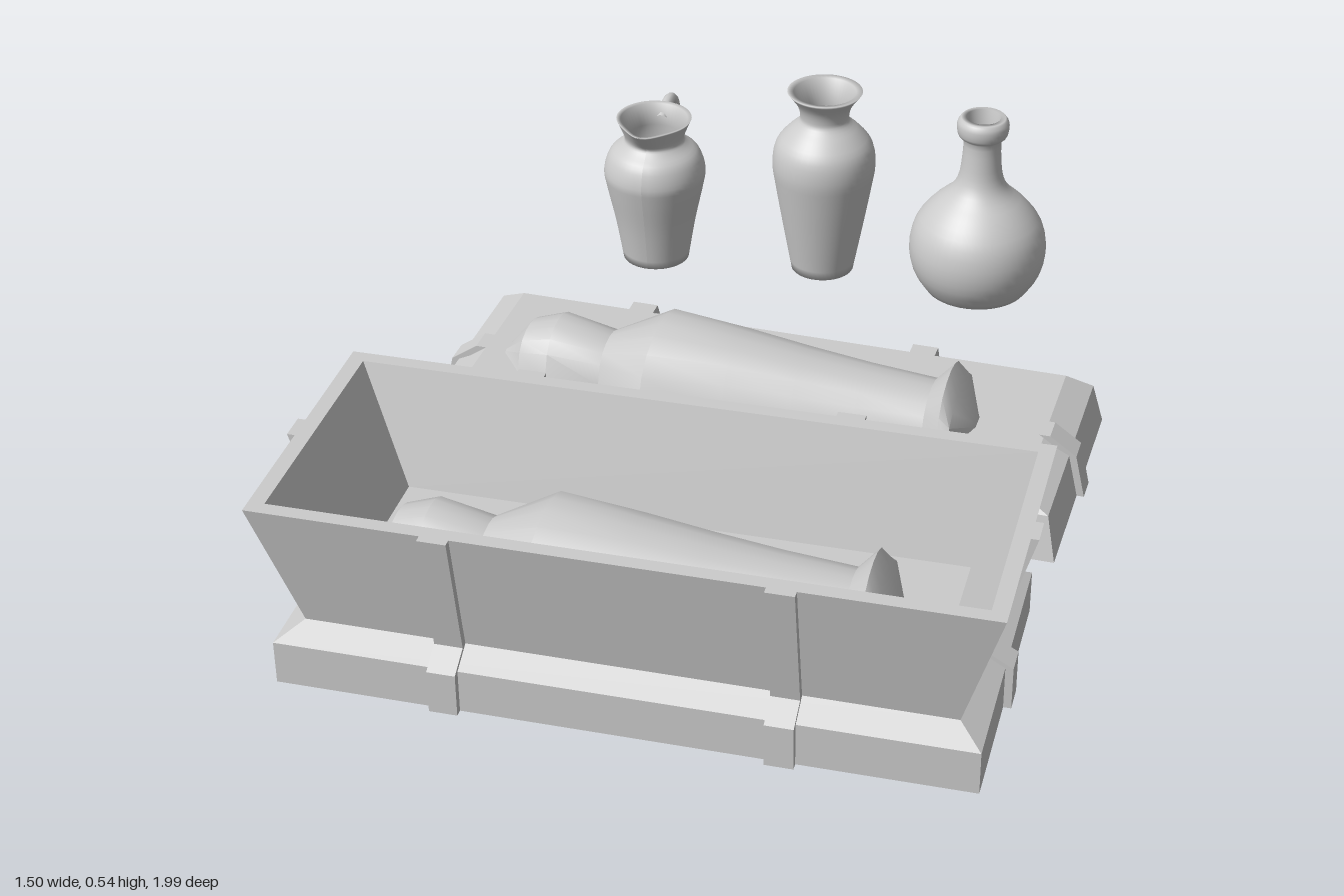
import * as THREE from 'three';
import { toCreasedNormals } from 'three/addons/utils/BufferGeometryUtils.js';

const material = new THREE.MeshStandardMaterial({ color: 0xcccccc, side: THREE.DoubleSide });

function mesh(name, geometry, parent) {
  const m = new THREE.Mesh(geometry, material);
  m.name = name;
  parent.add(m);
  return m;
}

// Skin a row of closed cross-sections and cap both ends
function loft(rings, crease) {
  const pos = [];
  const tri = (...pts) => pts.forEach((p) => pos.push(...p));
  const n = rings[0].length;
  for (let i = 0; i < rings.length - 1; i++) {
    for (let j = 0; j < n; j++) {
      const k = (j + 1) % n;
      const a = rings[i][j], b = rings[i][k], c = rings[i + 1][k], d = rings[i + 1][j];
      tri(a, b, c);
      tri(a, c, d);
    }
  }
  const first = rings[0], last = rings[rings.length - 1];
  for (let j = 1; j < n - 1; j++) {
    tri(first[0], first[j + 1], first[j]);
    tri(last[0], last[j], last[j + 1]);
  }
  const g = new THREE.BufferGeometry();
  g.setAttribute('position', new THREE.Float32BufferAttribute(pos, 3));
  g.computeVertexNormals();
  return crease ? toCreasedNormals(g, crease) : g;
}

// Rectangular cross-section: half length, half width, height
const rect = ([x, z, y]) => [[x, y, z], [x, y, -z], [-x, y, -z], [-x, y, z]];

// Raised strap following a side profile of [outward, height] points
function strap(name, profile, parent, angle, along) {
  const t = 0.016, w = 0.058;
  const outer = profile.map(([u, y]) => new THREE.Vector2(u + t, y));
  const inner = profile.map(([u, y]) => new THREE.Vector2(u - 0.008, y)).reverse();
  const g = new THREE.ExtrudeGeometry(new THREE.Shape([...outer, ...inner]), { depth: w, bevelEnabled: false });
  g.translate(0, 0, -w / 2);
  const m = mesh(name, g, parent);
  m.rotation.y = angle;
  const side = Math.abs(Math.sin(angle)) > 0.5;
  m.position.set(side ? along : 0, 0, side ? 0 : along);
}

// Two straps on each long side, one on each end
function addStraps(rings, parent, raise) {
  const ends = rings.map(([x, , y]) => [x, y]);
  const sides = rings.map(([, z, y]) => [z, y]);
  if (raise) for (const p of [ends, sides]) {
    const [u, y] = p[p.length - 1];
    p[p.length - 1] = [u, y + raise];
    p.push([u - 0.02, y + raise]);
  }
  for (const s of [-1, 1]) {
    strap('endStrap', ends, parent, s > 0 ? 0 : Math.PI, 0);
    for (const x of [-0.35, 0.318]) strap('sideStrap', sides, parent, -s * Math.PI / 2, x);
  }
}

// Reclining figure: stations of [x, half width, height]
function figure(y, parent) {
  const stations = [
    [-0.595, 0.02, 0.005], [-0.54, 0.09, 0.075], [-0.47, 0.105, 0.1], [-0.35, 0.09, 0.075],
    [-0.23, 0.175, 0.13], [-0.05, 0.142, 0.12], [0.1, 0.125, 0.1], [0.24, 0.11, 0.085],
    [0.39, 0.096, 0.075], [0.43, 0.135, 0.12], [0.455, 0.14, 0.085], [0.495, 0.02, 0.005],
  ];
  const arch = [[-1, -0.02], [-0.82, 0.55], [-0.6, 0.82], [-0.3, 0.96], [0, 1],
    [0.3, 0.96], [0.6, 0.82], [0.82, 0.55], [1, -0.02]];
  const rings = stations.map(([x, w, h]) => arch.map(([u, v]) => [x, v * h, u * w]));
  mesh('recliningFigure', loft(rings, 0.55), parent).position.y = y;
}

// Turned vessel: splined outer wall, then lip and inside
function vessel(name, outer, inner, x, z, parent) {
  const wall = new THREE.SplineCurve(outer.map((p) => new THREE.Vector2(...p))).getPoints(30);
  const pts = [new THREE.Vector2(0, outer[0][1]), ...wall, ...inner.map((p) => new THREE.Vector2(...p))];
  const g = new THREE.LatheGeometry(pts, 48);
  const group = new THREE.Group();
  group.name = name;
  group.position.set(x, 0, z);
  parent.add(group);
  return mesh(name + 'Body', g, group);
}

export function createModel() {
  const model = new THREE.Group();
  model.name = 'stoneCoffinSet';

  // Open coffin with stepped plinth, flared walls and hollow inside
  const coffin = new THREE.Group();
  coffin.name = 'coffin';
  coffin.position.z = 0.68;
  model.add(coffin);
  const outside = [[0.7, 0.295, 0.04], [0.7, 0.295, 0.135], [0.65, 0.243, 0.165], [0.733, 0.298, 0.445]];
  const inside = [[0.7, 0.267, 0.445], [0.59, 0.193, 0.2]];
  mesh('coffinShell', loft([...outside, ...inside].map(rect)), coffin);
  addStraps(outside, coffin, 0);
  figure(0.2, coffin);

  // Lid lying slightly askew behind the coffin
  const lid = new THREE.Group();
  lid.name = 'lid';
  lid.position.set(0, -0.003, -0.16);
  lid.rotation.set(0, -0.036, -0.005);
  model.add(lid);
  const slab = [[0.728, 0.291, 0.01], [0.705, 0.268, 0.11], [0.645, 0.245, 0.14]];
  mesh('lidSlab', loft(slab.map(rect)), lid);
  addStraps(slab, lid, 0.012);
  figure(0.14, lid);

  // Round bottle with a narrow neck
  vessel('bottle',
    [[0.122, 0.077], [0.152, 0.125], [0.163, 0.185], [0.15, 0.247], [0.112, 0.298], [0.072, 0.335],
      [0.053, 0.37], [0.046, 0.42], [0.045, 0.468], [0.058, 0.482], [0.061, 0.51], [0.052, 0.525]],
    [[0.04, 0.525], [0.036, 0.45], [0.034, 0.36], [0, 0.36]], 0.37, -0.836, model);

  // Tall jar with a flared mouth
  vessel('jar',
    [[0.075, 0.077], [0.094, 0.18], [0.115, 0.3], [0.123, 0.36], [0.115, 0.41], [0.088, 0.445],
      [0.062, 0.47], [0.058, 0.487], [0.066, 0.515], [0.089, 0.547]],
    [[0.074, 0.545], [0.05, 0.487], [0.075, 0.43], [0.065, 0.12], [0, 0.12]], -0.008, -0.836, model);

  // Pitcher: rim drawn out to a spout in front
  const pitcher = vessel('pitcher',
    [[0.08, 0.077], [0.097, 0.18], [0.117, 0.275], [0.122, 0.315], [0.108, 0.358], [0.08, 0.383],
      [0.071, 0.398], [0.08, 0.425], [0.09, 0.448]],
    [[0.08, 0.446], [0.062, 0.398], [0.09, 0.35], [0.07, 0.12], [0, 0.12]], -0.415, -0.795, model);
  const p = pitcher.geometry.attributes.position;
  for (let i = 0; i < p.count; i++) {
    const lift = Math.max(0, (p.getY(i) - 0.395) / 0.053);
    const facing = Math.max(0, Math.cos(Math.atan2(p.getX(i), p.getZ(i))));
    p.setZ(i, p.getZ(i) + 0.035 * lift * facing ** 8);
    p.setY(i, p.getY(i) + 0.005 * lift * facing ** 8);
  }
  pitcher.geometry.computeVertexNormals();

  // Looped handle at the back of the pitcher
  const path = new THREE.CatmullRomCurve3(
    [[0.41, -0.07], [0.428, -0.11], [0.425, -0.155], [0.39, -0.185], [0.32, -0.19], [0.24, -0.165],
      [0.19, -0.125], [0.155, -0.09]].map(([y, z]) => new THREE.Vector3(0, y, z)));
  mesh('pitcherHandle', new THREE.TubeGeometry(path, 32, 0.014, 10), pitcher.parent);

  return model;
}
